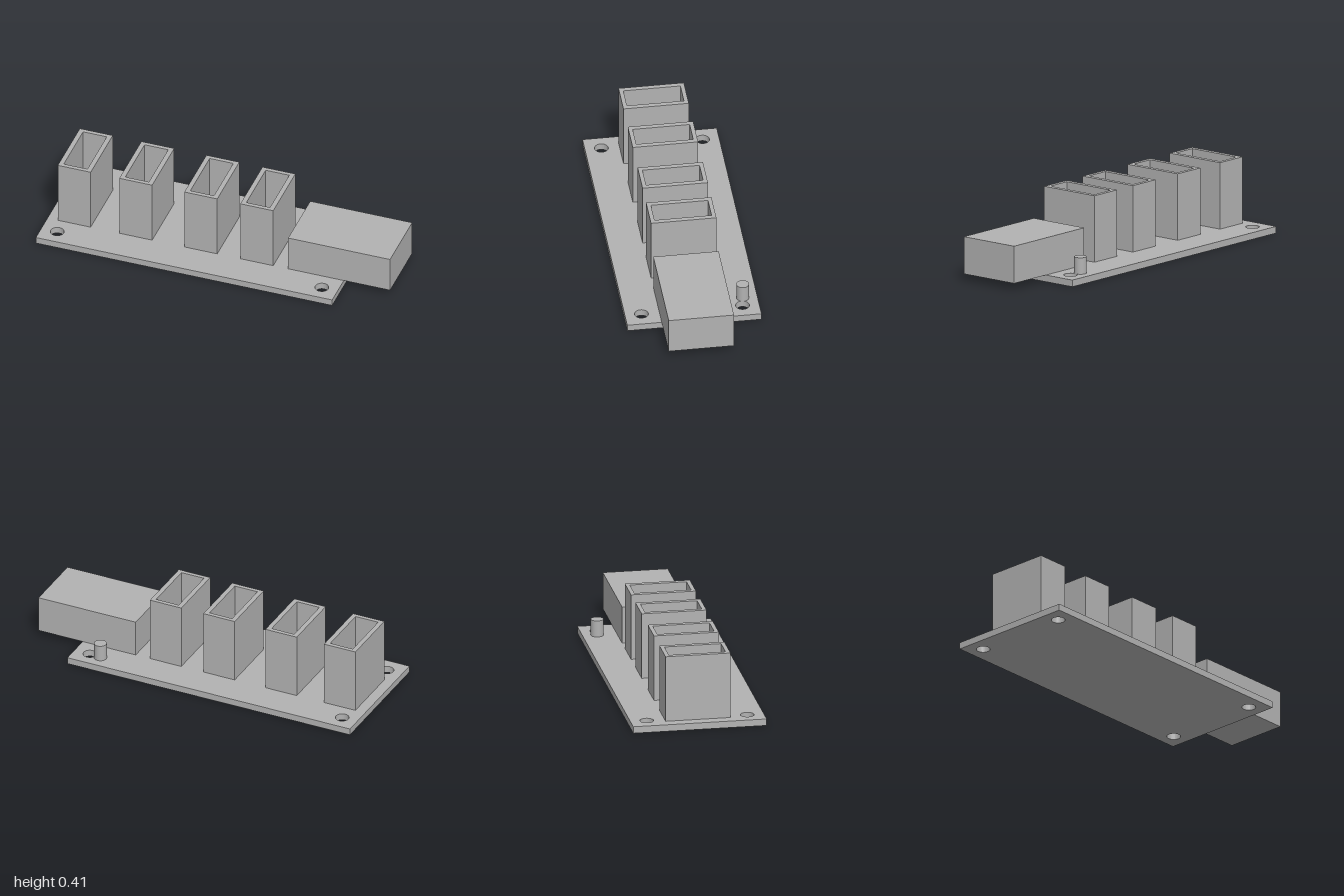
import * as THREE from 'three';
import { toCreasedNormals } from 'three/addons/utils/BufferGeometryUtils.js';

const BOARD_TOP = 0.038;

// rectangular outline centred on (cx, 0)
function rect(path, cx, w, d) {
  path.moveTo(cx - w / 2, -d / 2);
  path.lineTo(cx + w / 2, -d / 2);
  path.lineTo(cx + w / 2, d / 2);
  path.lineTo(cx - w / 2, d / 2);
  path.closePath();
  return path;
}

// extrude a plan outline straight up
function extrudeUp(shape, height) {
  const geo = new THREE.ExtrudeGeometry(shape, { depth: height, bevelEnabled: false, curveSegments: 32 });
  geo.rotateX(-Math.PI / 2);
  return toCreasedNormals(geo, 0.6);
}

export function createModel() {
  const model = new THREE.Group();
  model.name = 'connectorBoard';
  const grey = new THREE.MeshStandardMaterial({ color: 0xb2b2b2 });
  grey.name = 'plainGrey';

  function add(parent, name, geo, x = 0, y = 0, z = 0) {
    const mesh = new THREE.Mesh(geo, grey);
    mesh.name = name;
    mesh.position.set(x, y, z);
    parent.add(mesh);
  }

  // board with four mounting holes
  const board = rect(new THREE.Shape(), -0.135, 1.73, 0.746);
  for (const x of [-0.908, 0.637]) {
    for (const z of [-0.281, 0.281]) {
      board.holes.push(new THREE.Path().absarc(x, z, 0.038, 0, Math.PI * 2, true));
    }
  }
  add(model, 'board', extrudeUp(board, BOARD_TOP));

  // row of open-topped sockets: hollow walls with a thin floor inside
  const walls = rect(new THREE.Shape(), 0, 0.192, 0.363);
  walls.holes.push(rect(new THREE.Path(), 0, 0.138, 0.317));
  const wallGeo = extrudeUp(walls, 0.413 - BOARD_TOP);
  const floorGeo = new THREE.BoxGeometry(0.138, 0.03, 0.317);
  [-0.844, -0.485, -0.105, 0.222].forEach((x, i) => {
    const socket = new THREE.Group();
    socket.name = 'socket' + (i + 1);
    socket.position.set(x, BOARD_TOP, 0);
    add(socket, 'socketWalls', wallGeo);
    add(socket, 'socketFloor', floorGeo, 0, 0.015, 0);
    model.add(socket);
  });

  // solid plug overhanging the end of the board
  add(model, 'plugBlock', new THREE.BoxGeometry(0.595, 0.21, 0.363), 0.7025, BOARD_TOP + 0.105, 0);

  // small round post beside the rear hole
  add(model, 'post', new THREE.CylinderGeometry(0.035, 0.035, 0.093, 40), 0.567, BOARD_TOP + 0.0465, -0.292);

  return model;
}
